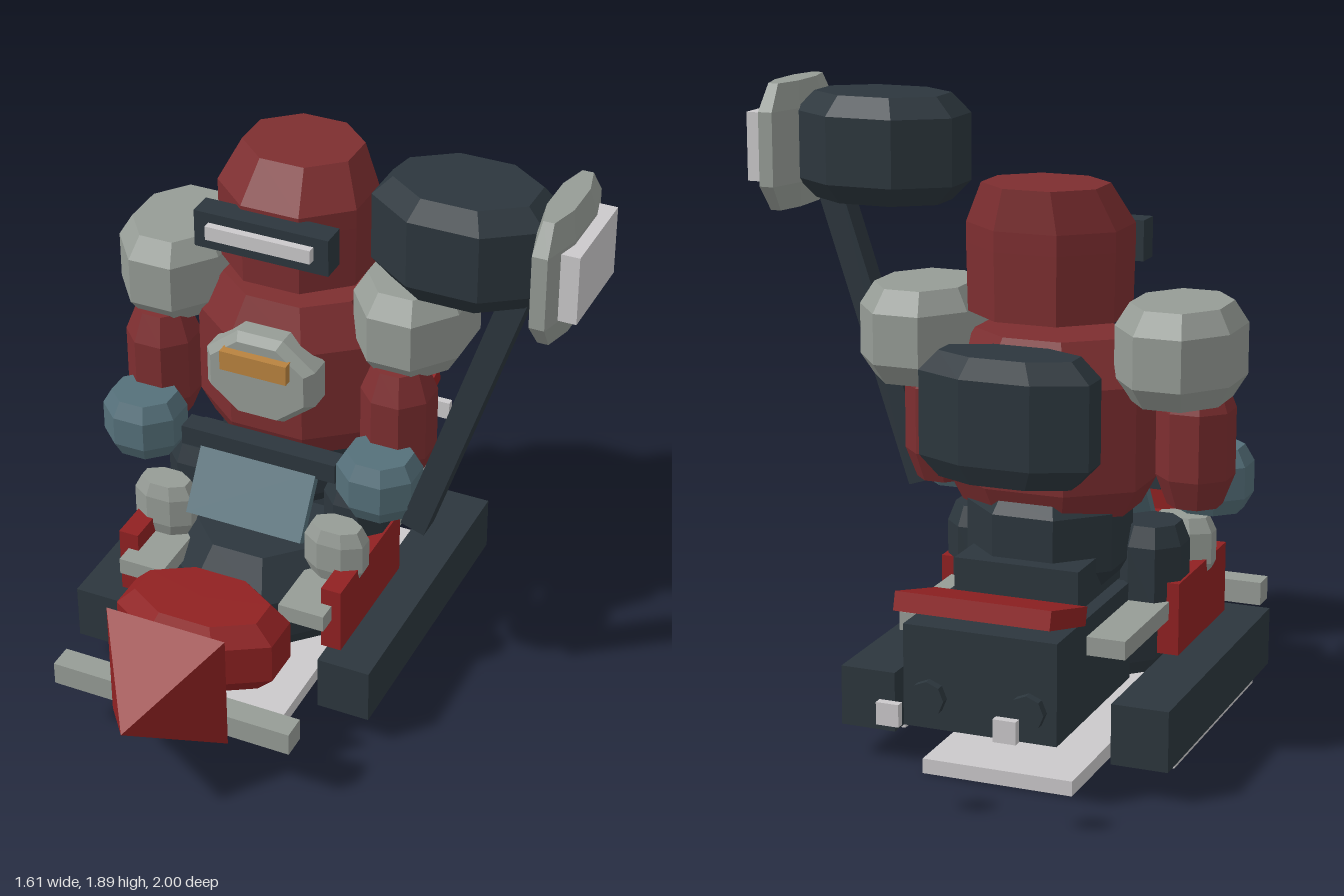
import * as THREE from 'three';

const mat = (name, color) => {
  const m = new THREE.MeshStandardMaterial({ color });
  m.name = name;
  return m;
};

// Faceted block: stretched octagon in plan, bevelled towards top and bottom
function gem(w, h, d, { bevel = 0.06, top = 0.78, bottom = top, bottomBevel = bevel } = {}) {
  const r = 1 / Math.cos(Math.PI / 8);
  const profile = [
    [0, -h / 2], [bottom, -h / 2], [1, -h / 2 + bottomBevel],
    [1, h / 2 - bevel], [top, h / 2], [0, h / 2],
  ].map(([x, y]) => new THREE.Vector2(x * r, y));
  const geo = new THREE.LatheGeometry(profile, 8, Math.PI / 8);
  geo.scale(w / 2, 1, d / 2);
  const flat = geo.toNonIndexed();
  flat.computeVertexNormals();
  return flat;
}

export function createModel() {
  const armour = mat('dull red', 0x7d2e30);
  const red = mat('bright red', 0x902122);
  const dark = mat('dark slate', 0x2c363d);
  const grey = mat('warm grey', 0x969c96);
  const light = mat('light grey', 0xcbc9cb);
  const teal = mat('teal', 0x55707a);
  const orange = mat('orange', 0xb9833f);

  const model = new THREE.Group();
  const body = new THREE.Group();
  body.name = 'body';
  body.position.x = -0.243;
  model.add(body);

  const add = (parent, name, geo, material, x, y, z) => {
    const m = new THREE.Mesh(geo, material);
    m.name = name;
    m.position.set(x, y, z);
    parent.add(m);
    return m;
  };
  const box = (w, h, d) => new THREE.BoxGeometry(w, h, d);
  // Two copies, one on each side of the body
  const pair = (name, geo, material, x, y, z) => {
    add(body, name + 'Left', geo, material, x, y, z);
    add(body, name + 'Right', geo, material, -x, y, z);
  };

  // Head: crown is set slightly back
  const headGeo = gem(0.455, 0.38, 0.4, { bevel: 0.12, top: 0.76, bottom: 0.98, bottomBevel: 0.2 });
  const p = headGeo.attributes.position;
  for (let i = 0; i < p.count; i++) if (p.getY(i) > 0.15) p.setZ(i, p.getZ(i) - 0.04);
  headGeo.computeVertexNormals();
  add(body, 'head', headGeo, armour, 0, 1.49, -0.225);
  add(body, 'visor', box(0.435, 0.12, 0.08), dark, 0, 1.488, -0.005);
  add(body, 'visorSlit', box(0.34, 0.045, 0.03), light, 0, 1.494, 0.045);

  // Torso
  add(body, 'torso', gem(0.58, 0.515, 0.45,
    { bevel: 0.13, top: 0.74, bottom: 0.86, bottomBevel: 0.08 }), armour, 0, 0.988, -0.205);
  const plate = add(body, 'chestPlate', gem(0.36, 0.13, 0.29,
    { bevel: 0.03, top: 0.86 }), grey, 0, 1.03, 0.015);
  plate.rotation.x = Math.PI / 2;
  add(body, 'chestBadge', box(0.22, 0.065, 0.035), orange, 0, 1.093, 0.09);
  add(body, 'backpack', gem(0.51, 0.365, 0.23, { bevel: 0.06 }), dark, 0, 1.062, -0.54);
  add(body, 'waist', gem(0.45, 0.27, 0.44, { bevel: 0.05, top: 0.85 }), dark, 0, 0.655, -0.22);
  add(body, 'belt', box(0.52, 0.065, 0.07), dark, 0, 0.763, 0.05);

  // Arms and legs
  pair('shoulder', gem(0.34, 0.28, 0.435, { bevel: 0.065 }), grey, 0.395, 1.22, -0.217);
  pair('arm', gem(0.215, 0.38, 0.22, { bevel: 0.09, top: 0.7 }), armour, 0.398, 0.92, -0.08);
  pair('hand', gem(0.245, 0.195, 0.23, { bevel: 0.05 }), teal, 0.398, 0.778, 0.06);
  pair('thigh', gem(0.2, 0.31, 0.21, { bevel: 0.06 }), dark, 0.27, 0.51, -0.075);
  pair('knee', gem(0.195, 0.185, 0.12, { bevel: 0.045 }), grey, 0.292, 0.533, 0.14);

  // Control panel in front of the waist
  const panel = add(body, 'controlPanel', box(0.39, 0.225, 0.03), teal, 0, 0.648, 0.125);
  panel.rotation.x = -0.56;

  // Vehicle hull
  add(body, 'frontHull', gem(0.57, 0.3, 0.57, { bevel: 0.12, top: 0.72, bottom: 0.95, bottomBevel: 0.04 }),
    dark, 0, 0.345, 0.03);
  add(body, 'rearHull', box(0.462, 0.3, 0.6), dark, 0, 0.345, -0.46);
  add(body, 'seat', box(0.38, 0.12, 0.4), dark, 0, 0.555, -0.29);
  const lid = add(body, 'rearLid', box(0.465, 0.055, 0.29), red, 0, 0.542, -0.675);
  lid.rotation.x = 0.26;
  const pipe = new THREE.CylinderGeometry(0.052, 0.052, 0.06, 8).toNonIndexed();
  pipe.rotateX(Math.PI / 2);
  pipe.computeVertexNormals();
  pair('exhaust', pipe, dark, 0.15, 0.29, -0.757);
  pair('rearLamp', box(0.067, 0.065, 0.025), light, 0.172, 0.317, -0.987);

  // Tracks, side rails and skirts
  pair('track', box(0.17, 0.18, 0.97), dark, 0.417, 0.19, -0.115);
  pair('trackPad', box(0.135, 0.035, 0.755), light, 0.417, 0.087, -0.112);
  pair('sideRail', box(0.15, 0.055, 0.89), grey, 0.272, 0.415, -0.085);
  pair('sideSkirt', box(0.065, 0.22, 0.45), red, 0.345, 0.39, 0.075);
  add(body, 'underPlate', box(0.46, 0.045, 1.05), light, 0, 0.023, -0.11);

  // Nose, bumper and pointed ram
  add(body, 'nose', gem(0.522, 0.25, 0.31, { bevel: 0.06 }), red, 0, 0.365, 0.473);
  add(body, 'bumper', box(0.79, 0.075, 0.078), grey, 0, 0.232, 0.668);
  add(body, 'frontLamp', box(0.22, 0.09, 0.04), light, 0, 0.39, 0.665);
  const ram = new THREE.ConeGeometry(0.195 * Math.SQRT2, 0.29, 4, 1, false, Math.PI / 4).toNonIndexed();
  ram.rotateX(Math.PI / 2);
  ram.computeVertexNormals();
  add(body, 'ram', ram, red, 0, 0.362, 0.855);

  // Raised hammer
  const hammer = new THREE.Group();
  hammer.name = 'hammer';
  model.add(hammer);
  const handle = add(hammer, 'hammerHandle', box(0.08, 0.96, 0.08), dark, 0.437, 1.12, 0.075);
  handle.rotation.z = -Math.atan2(0.29, 0.875);
  add(hammer, 'hammerHead', gem(0.515, 0.325, 0.36, { bevel: 0.06 }), dark, 0.413, 1.702, 0.065);
  add(hammer, 'hammerFace', gem(0.11, 0.385, 0.42, { bevel: 0.08, top: 0.72 }), grey, 0.707, 1.698, 0.07);
  add(hammer, 'hammerPlate', box(0.06, 0.21, 0.3), light, 0.77, 1.695, 0.07);

  return model;
}
